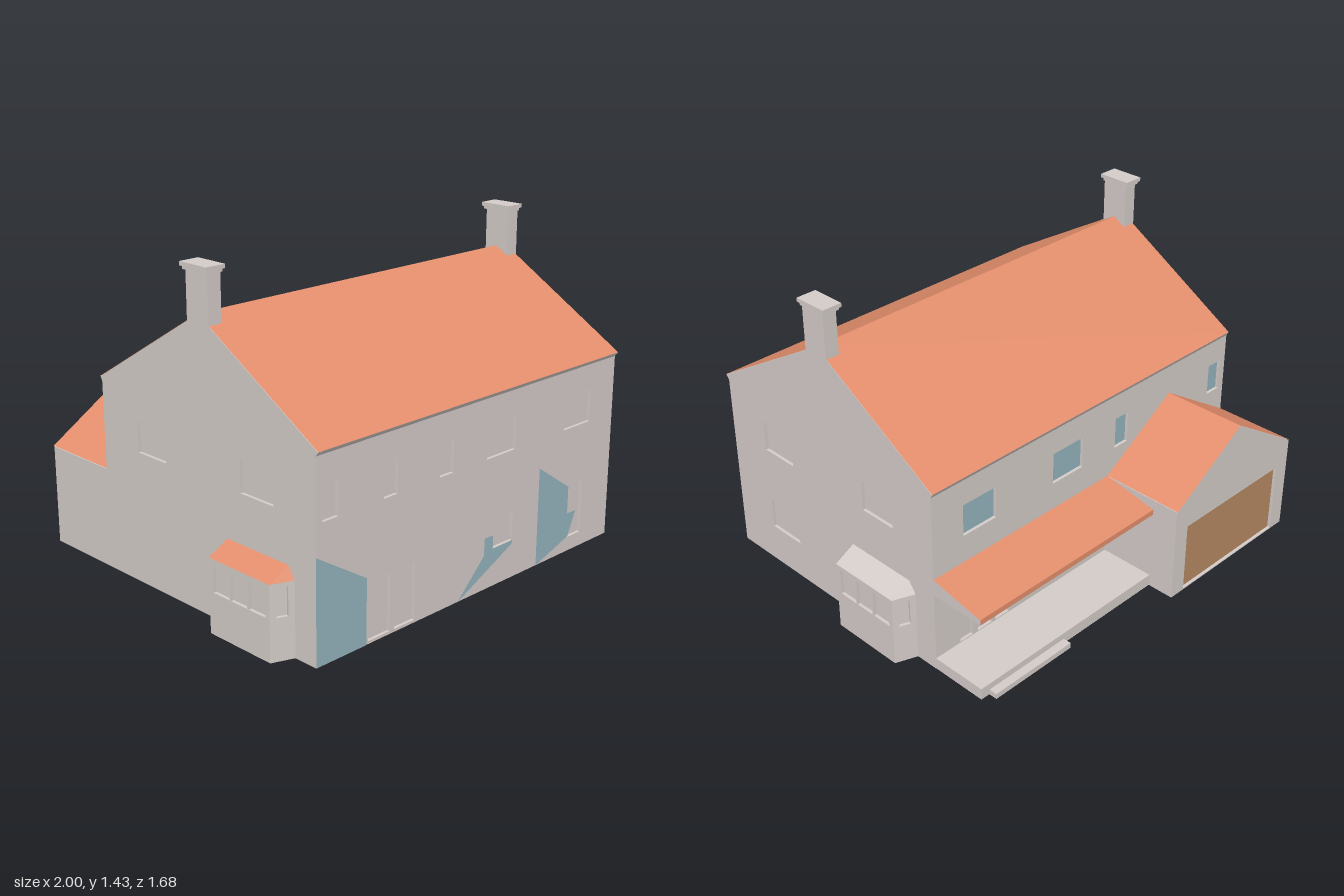
import * as THREE from 'three';

const mat = (color) => new THREE.MeshStandardMaterial({ color, flatShading: true, side: THREE.DoubleSide });
const WALL = mat(0xd3cbc8), ROOF = mat(0xe38e6c), GLASS = mat(0x94b3bd), WOOD = mat(0xb38860);
const T = 0.024;          // wall thickness
const W = 0.905;          // half width of the house
const FRONT = 0.82, BACK = -0.45;

function add(parent, name, geometry, material) {
  const m = new THREE.Mesh(geometry, material);
  m.name = name;
  parent.add(m);
  return m;
}

// axis-aligned box from its limits
function box(parent, name, x0, x1, y0, y1, z0, z1, material = WALL) {
  const m = add(parent, name, new THREE.BoxGeometry(x1 - x0, y1 - y0, z1 - z0), material);
  m.position.set((x0 + x1) / 2, (y0 + y1) / 2, (z0 + z1) / 2);
  return m;
}

// flat polygon in space, possibly concave, given as [x, y, z] corners
function panel(parent, name, pts, material) {
  const v = pts.map((p) => new THREE.Vector3(...p));
  const n = new THREE.Vector3();
  v.forEach((p, i) => n.add(new THREE.Vector3().crossVectors(p, v[(i + 1) % v.length])));
  n.normalize();
  const u = v[1].clone().sub(v[0]).normalize();
  const w = new THREE.Vector3().crossVectors(n, u);
  const flat = v.map((p) => new THREE.Vector2(p.dot(u), p.dot(w)));
  const g = new THREE.BufferGeometry().setFromPoints(v);
  g.setIndex(THREE.ShapeUtils.triangulateShape(flat, []).flat());
  g.computeVertexNormals();
  return add(parent, name, g, material);
}

const rect = (x0, x1, y0, y1) => [[x0, y0], [x1, y0], [x1, y1], [x0, y1]];

// wall facing local +z with its outer face at z = 0; openings are [x0, x1, y0, y1, material]
function wall(parent, name, outline, openings = []) {
  const g = new THREE.Group();
  g.name = name;
  const toV = (a) => a.map(([x, y]) => new THREE.Vector2(x, y));
  const shape = new THREE.Shape(toV(outline));
  for (const [x0, x1, y0, y1, m = WALL] of openings) {
    shape.holes.push(new THREE.Path(toV(rect(x0, x1, y0, y1))));
    const pane = add(g, 'pane', new THREE.PlaneGeometry(x1 - x0, y1 - y0), m);
    pane.position.set((x0 + x1) / 2, (y0 + y1) / 2, -0.014);
  }
  const geo = new THREE.ExtrudeGeometry(shape, { depth: T, bevelEnabled: false });
  geo.translate(0, 0, -T);
  add(g, name + 'Panel', geo, WALL);
  parent.add(g);
  return g;
}

function place(obj, x, z, turn) {
  obj.position.set(x, 0, z);
  obj.rotation.y = turn;
  return obj;
}

// bay window facing local +z: three-sided body with hipped lean-to roof
function bay(name, roofMaterial) {
  const g = new THREE.Group();
  g.name = name;
  const a = 0.208, b = 0.172, d = 0.095, h = 0.32, top = 0.37;
  const side = Math.hypot(a - b, d);
  const front = wall(g, 'bayFront', rect(-b, b, 0, h),
    [-0.102, 0, 0.102].map((x) => [x - 0.047, x + 0.047, 0.18, 0.3]));
  front.position.z = d;
  for (const s of [-1, 1]) {
    const w = wall(g, 'baySide', rect(-side / 2, side / 2, 0, h), [[-0.024, 0.024, 0.18, 0.3]]);
    place(w, s * (a + b) / 2, d / 2, s * Math.atan2(d, a - b));
    panel(g, 'bayHip', [[s * a, h, 0], [s * b, h, d], [s * b, top, 0]], roofMaterial);
  }
  panel(g, 'bayRoof', [[-b, h, d], [b, h, d], [b, top, 0], [-b, top, 0]], roofMaterial);
  panel(g, 'bayFloor', [[-a, 0.002, 0], [-b, 0.002, d], [b, 0.002, d], [a, 0.002, 0]], WALL);
  return g;
}

export function createModel() {
  const house = new THREE.Group();
  house.name = 'house';

  // front and back walls
  const upper = [[-0.87, -0.79], [-0.55, -0.475], [-0.235, -0.155], [0.05, 0.23], [0.56, 0.74]];
  const e = W - 0.008;
  place(wall(house, 'frontWall', rect(-e, e, 0, 0.85), [
    ...upper.map(([x0, x1]) => [x0, x1, 0.575, 0.72]),
    [-0.63, -0.51, 0.012, 0.26], [-0.485, -0.37, 0.012, 0.26],
    [0.05, 0.23, 0.17, 0.31], [0.59, 0.71, 0.065, 0.305],
  ]), 0, FRONT, 0);
  place(wall(house, 'backWall', rect(-e, e, 0, 0.85), [
    ...upper.filter((_, i) => i !== 1).map(([x0, x1]) => [-x1, -x0, 0.575, 0.72, GLASS]),
    [-0.77, -0.7, 0.06, 0.3], [-0.67, -0.59, 0.06, 0.3], [-0.57, -0.49, 0.06, 0.3],
    [-0.23, -0.05, 0.17, 0.31, GLASS],
  ]), 0, BACK, Math.PI);

  // gable walls, mirrored; local x runs along -z on the left and +z on the right
  for (const s of [1, -1]) {
    const outline = [[FRONT, 0], [FRONT, 0.835], [0.835, 0.853], [0.185, 1.238], [-0.46, 0.853], [BACK, 0.835], [BACK, 0]];
    const holes = [[0.41, 0.595, 0.58, 0.72], [-0.22, -0.04, 0.58, 0.72]];
    if (s > 0) holes.push([0.41, 0.595, 0.18, 0.32]);
    place(wall(house, s > 0 ? 'leftGable' : 'rightGable', outline.map(([z, y]) => [-s * z, y]),
      holes.map(([z0, z1, y0, y1]) => (s > 0 ? [-z1, -z0, y0, y1] : [z0, z1, y0, y1]))), s * W, 0, s * Math.PI / 2);
  }

  // main roof with small eaves
  for (const [z, wz] of [[0.836, FRONT], [-0.461, BACK]]) {
    panel(house, 'roofSlope', [[-W, 0.855, z], [W, 0.855, z], [W, 1.24, 0.185], [-W, 1.24, 0.185]], ROOF);
    panel(house, 'soffit', [[-W, 0.855, z], [W, 0.855, z], [W, 0.835, wz], [-W, 0.835, wz]], WALL);
  }

  // chimneys
  for (const s of [-1, 1]) {
    const c = new THREE.Group();
    c.name = 'chimney';
    box(c, 'stack', -0.0325, 0.0325, 1.19, 1.405, 0.125, 0.25);
    box(c, 'capLower', -0.04, 0.04, 1.4, 1.415, 0.115, 0.253);
    box(c, 'cap', -0.046, 0.046, 1.413, 1.43, 0.106, 0.262);
    c.position.x = s * 0.876;
    house.add(c);
  }

  // bay windows
  house.add(place(bay('leftBay', WALL), W, -0.133, Math.PI / 2));
  house.add(place(bay('rightBay', ROOF), -W, 0.5, -Math.PI / 2));

  // garage wing at the back
  const garage = new THREE.Group();
  garage.name = 'garage';
  const gx0 = -W, gx1 = -0.115, gm = -0.51, gz = -0.835;
  place(wall(garage, 'garageGable',
    [[-gx1, 0], [-gx0, 0], [-gx0, 0.447], [-gm, 0.697], [-gx1, 0.447]],
    [[0.195, 0.828, 0.005, 0.335, WOOD]]), 0, gz, Math.PI);
  box(garage, 'garageSide', gx0, gx0 + T, 0, 0.447, gz + 0.005, BACK + 0.005);
  box(garage, 'garageSide', gx1 - T, gx1, 0, 0.447, gz + 0.005, BACK + 0.005);
  for (const x of [gx0, gx1]) {
    panel(garage, 'garageRoof', [[x, 0.45, -0.84], [gm, 0.7, -0.84], [gm, 0.7, BACK], [x, 0.45, BACK]], ROOF);
  }
  house.add(garage);

  // porch: lean-to canopy, terrace and step
  const porch = new THREE.Group();
  porch.name = 'porch';
  const end = -0.71;
  panel(porch, 'canopyRoof', [[gx1, 0.45, BACK], [W, 0.45, BACK], [W, 0.4, end], [gx1, 0.4, end]], ROOF);
  panel(porch, 'canopyFascia', [[gx1, 0.4, end], [W, 0.4, end], [W, 0.375, end], [gx1, 0.375, end]], ROOF);
  panel(porch, 'canopySoffit', [[gx1, 0.375, end], [W, 0.375, end], [W, 0.375, BACK], [gx1, 0.375, BACK]], WALL);
  panel(porch, 'canopyEnd', [[W, 0.45, BACK], [W, 0.4, end], [W, 0.375, end], [W, 0.375, BACK]], WALL);
  box(porch, 'terrace', gx1, W, 0.003, 0.055, end, BACK);
  box(porch, 'step', 0.43, 0.86, 0, 0.025, -0.748, end);
  house.add(porch);

  // floor slab with coloured areas underneath
  const ground = (pts, y) => pts.map(([x, z]) => [x, y, z]);
  panel(house, 'floor', ground([[-W, FRONT], [W, FRONT], [W, end], [gx1, end], [gx1, gz], [-W, gz]], 0.002), WALL);
  panel(house, 'floorBlue', ground([[0.34, FRONT], [0.34, -0.7], [0.14, -0.7], [-0.13, FRONT]], 0), GLASS);
  panel(house, 'floorBrown', ground([[-0.13, FRONT], [0.14, -0.7], [gx1, -0.7], [gx1, gz], [gm, gz], [-W, -0.43]], 0), WOOD);

  // blue areas on the front wall
  const patches = [
    [[-0.905, 0], [-0.64, 0], [-0.64, 0.28], [-0.905, 0.445]],
    [[-0.11, 0], [0.23, 0.155], [0.23, 0.17], [0.105, 0.17], [0.105, 0.23], [0.05, 0.23], [0.05, 0.155]],
    [[0.4, 0], [0.62, 0.07], [0.67, 0.18], [0.61, 0.18], [0.61, 0.305], [0.4, 0.445]],
  ];
  for (const p of patches) panel(house, 'bluePatch', p.map(([x, y]) => [x, y, FRONT + 0.0015]), GLASS);

  return house;
}
